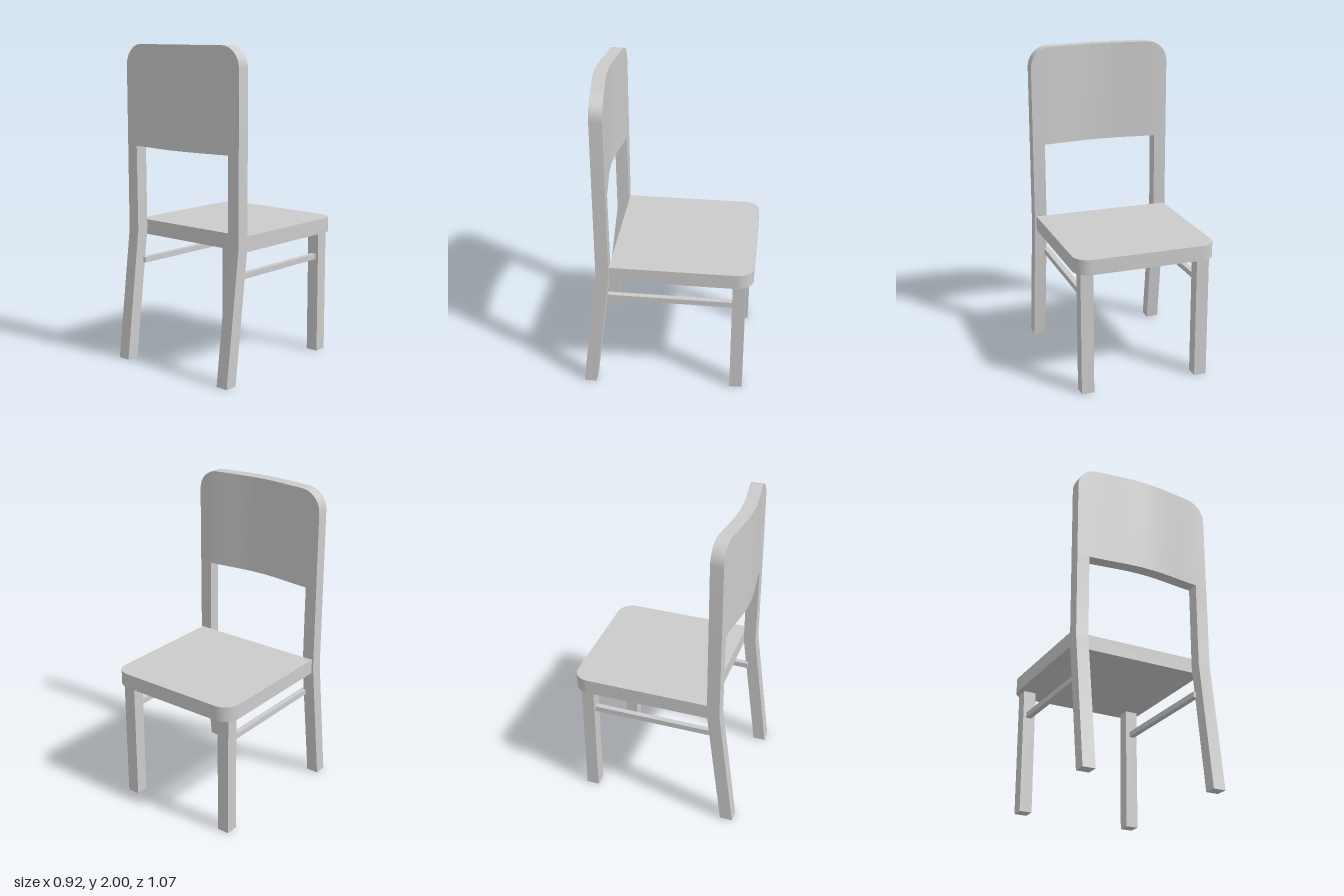
import * as THREE from 'three';
import { toCreasedNormals } from 'three/addons/utils/BufferGeometryUtils.js';

const HALF = 0.46;        // half width of the back
const POST = 0.08;        // post thickness
const BEND_Y = 0.83;      // height where the rear legs start to splay
const PANEL_Y = 1.37;     // underside of the back panel
const TOP_Y = 2;
const CORNER = 0.13;

const material = new THREE.MeshStandardMaterial({ color: 0xcccccc });

function addMesh(parent, name, geometry) {
  const mesh = new THREE.Mesh(geometry, material);
  mesh.name = name;
  parent.add(mesh);
  return mesh;
}

// Box given by its limits on each axis
function addBox(parent, name, [x0, x1], [y0, y1], [z0, z1]) {
  const mesh = addMesh(parent, name, new THREE.BoxGeometry(x1 - x0, y1 - y0, z1 - z0));
  mesh.position.set((x0 + x1) / 2, (y0 + y1) / 2, (z0 + z1) / 2);
}

// Move every vertex by a rule, then keep the hard edges sharp
function reshape(geometry, rule) {
  const p = geometry.attributes.position;
  const v = new THREE.Vector3();
  for (let i = 0; i < p.count; i++) {
    rule(v.fromBufferAttribute(p, i));
    p.setXYZ(i, v.x, v.y, v.z);
  }
  return toCreasedNormals(geometry, 0.5);
}

// Depth of the back's centre surface: bowed above the seat, splayed below it
function backDepth(x, y) {
  const bow = 0.02 * (1 + Math.cos(Math.PI * x / HALF));
  const blend = THREE.MathUtils.clamp((y - BEND_Y) / (PANEL_Y - BEND_Y), 0, 1);
  const splay = 0.105 * Math.max(0, 1 - y / BEND_Y);
  return 0.391 + bow * blend + splay;
}

// Bowed panel with rounded upper corners
function panelGeometry() {
  const arcSteps = 8, midSteps = 24, n = 2 * arcSteps + midSteps;
  const inner = HALF - CORNER;
  return reshape(new THREE.BoxGeometry(n, 1, POST, n, 1, 1), (v) => {
    const side = Math.sign(v.x);
    const over = Math.abs(v.x) - midSteps / 2;
    let top = TOP_Y;
    if (over > 0) {
      const a = (over / arcSteps) * Math.PI / 2;
      v.x = side * (inner + CORNER * Math.sin(a));
      top = TOP_Y - CORNER * (1 - Math.cos(a));
    } else {
      v.x *= inner / (midSteps / 2);
    }
    v.y = v.y > 0 ? top : PANEL_Y;
    v.z += backDepth(v.x, v.y);
  });
}

// Rear leg and upright in one piece
function postGeometry(side) {
  const levels = [0, BEND_Y, PANEL_Y];
  return reshape(new THREE.BoxGeometry(POST, 2, POST, 4, 2, 1), (v) => {
    v.x += side * (HALF - POST / 2);
    v.y = levels[Math.round(v.y + 1)];
    v.z += backDepth(v.x, v.y);
  });
}

// Flat seat with two rounded corners on the edge away from the back
function seatGeometry() {
  const w = 0.45, z0 = -0.535, z1 = 0.35, r = 0.1;
  const s = new THREE.Shape();
  s.moveTo(w, z1);
  s.lineTo(-w, z1);
  s.lineTo(-w, z0 + r);
  s.absarc(-w + r, z0 + r, r, Math.PI, 1.5 * Math.PI, false);
  s.lineTo(w - r, z0);
  s.absarc(w - r, z0 + r, r, 1.5 * Math.PI, 2 * Math.PI, false);
  s.closePath();
  const g = new THREE.ExtrudeGeometry(s, { depth: 0.095, bevelEnabled: false, curveSegments: 8 });
  g.rotateX(Math.PI / 2).translate(0, 0.89, 0);
  return toCreasedNormals(g, 0.5);
}

export function createModel() {
  const chair = new THREE.Group();
  chair.name = 'chair';

  addMesh(chair, 'seat', seatGeometry());
  addMesh(chair, 'backPanel', panelGeometry());

  for (const side of [1, -1]) {
    const label = side > 0 ? 'left' : 'right';
    const span = (a, b) => (side > 0 ? [a, b] : [-b, -a]);
    addMesh(chair, label + 'BackPost', postGeometry(side));
    addBox(chair, label + 'StraightLeg', span(0.335, 0.415), [0, 0.795], [-0.49, -0.41]);
    addBox(chair, label + 'Stretcher', span(0.36, 0.395), [0.615, 0.65], [-0.415, 0.39]);
  }
  return chair;
}
